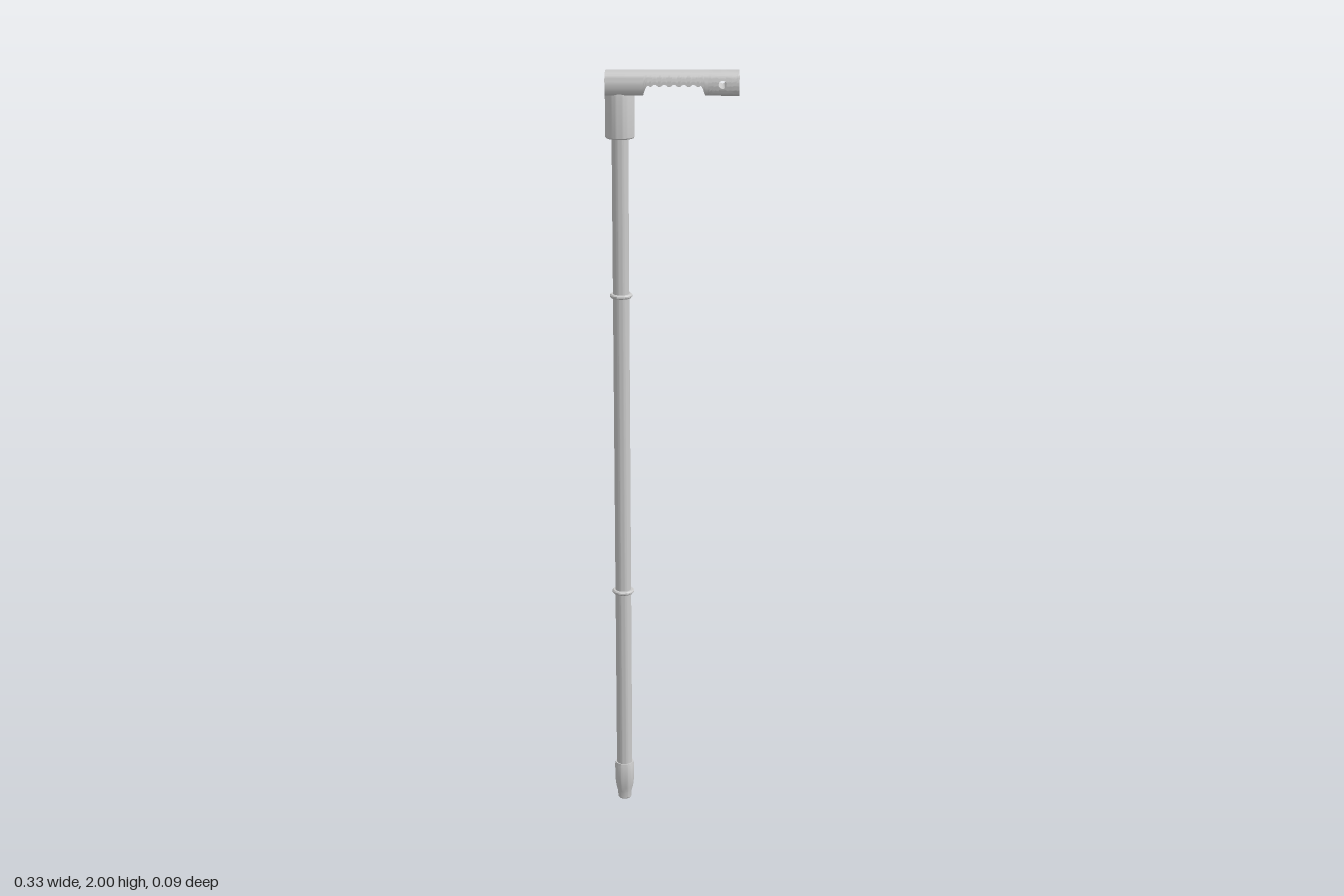
import * as THREE from 'three';
import { toCreasedNormals } from 'three/addons/utils/BufferGeometryUtils.js';

const material = new THREE.MeshStandardMaterial({ color: 0xcccccc });
const TOP = 2, BOTTOM = 1.945, HALF = 0.167, SPLIT = 0.09;
const SHAFT_X = -0.131, SHAFT_Z = 0.002;

// Half width of the handle at height y: flat top and bottom, bulging sides
function halfWidth(y) {
  const t = (y - (TOP + BOTTOM) / 2) / ((TOP - BOTTOM) / 2);
  return 0.031 + 0.014 * Math.sqrt(Math.max(0, 1 - t * t));
}

// Underside of the handle: a finger recess with cross ribs
function underside(x) {
  const inset = Math.min(x + 0.072, 0.082 - x);
  if (inset <= 0) return BOTTOM;
  const rise = Math.sin(Math.min(1, inset / 0.012) * Math.PI / 2);
  const ribs = inset > 0.015 ? 0.003 * Math.cos((x - 0.005) * Math.PI * 2 / 0.024) : 0;
  return BOTTOM + 0.026 * rise + ribs;
}

// Skin a list of closed rings of equal length
function loft(rings, closed = false) {
  const n = rings[0].length, index = [];
  const last = closed ? rings.length : rings.length - 1;
  for (let i = 0; i < last; i++) {
    for (let j = 0; j < n; j++) {
      const k = (i + 1) % rings.length, m = (j + 1) % n;
      const a = i * n + j, b = k * n + j, c = k * n + m, d = i * n + m;
      index.push(a, b, c, a, c, d);
    }
  }
  const geometry = new THREE.BufferGeometry();
  geometry.setAttribute('position', new THREE.Float32BufferAttribute(rings.flat(2), 3));
  geometry.setIndex(index);
  return toCreasedNormals(geometry, 0.6);
}

// Grip: cross-sections along x, cut off at the underside
function gripGeometry() {
  const arc = 10, stations = 110;
  const section = (x) => {
    const b = underside(x), ring = [];
    for (const side of [1, -1]) {
      for (let i = 0; i <= arc; i++) {
        const s = (1 - Math.cos(Math.PI * i / arc)) / 2;
        const y = b + (TOP - b) * (side > 0 ? s : 1 - s);
        ring.push([x, y, side * halfWidth(y)]);
      }
    }
    return ring;
  };
  const first = section(-HALF);
  const rings = [first.map(() => [-HALF, (TOP + BOTTOM) / 2, 0])];
  for (let i = 0; i <= stations; i++) rings.push(section(-HALF + (SPLIT + HALF) * i / stations));
  return loft(rings);
}

// End block: rings spread from a strap hole to the block's outline, front and back
function endGeometry() {
  const cx = 0.125, cy = 1.974, radius = 0.01, per = 12, steps = 7;
  const corners = [[HALF, BOTTOM], [HALF, TOP], [SPLIT, TOP], [SPLIT, BOTTOM]];
  const outline = [];
  corners.forEach(([x, y], c) => {
    const [x2, y2] = corners[(c + 1) % 4];
    for (let i = 0; i < per; i++) outline.push([x + (x2 - x) * i / per, y + (y2 - y) * i / per]);
  });
  const ring = (t, side) => outline.map(([x, y]) => {
    const a = Math.atan2(y - cy, x - cx);
    const hx = cx + radius * Math.cos(a), hy = cy + radius * Math.sin(a);
    const py = hy + (y - hy) * t;
    return [hx + (x - hx) * t, py, side * halfWidth(py)];
  });
  const rings = [];
  for (let i = 0; i <= steps; i++) rings.push(ring(i / steps, 1));
  for (let i = steps; i >= 0; i--) rings.push(ring(i / steps, -1));
  return loft(rings, true);
}

export function createModel() {
  const model = new THREE.Group();
  const add = (name, geometry, x = 0, y = 0, z = 0) => {
    const mesh = new THREE.Mesh(geometry, material);
    mesh.name = name;
    mesh.position.set(x, y, z);
    model.add(mesh);
    return mesh;
  };
  // Turned part on the shaft's axis, profile given from bottom to top
  const turned = (name, profile, y = 0) => {
    const points = profile.map(([r, h]) => new THREE.Vector2(r, h));
    add(name, toCreasedNormals(new THREE.LatheGeometry(points, 40), 0.5), SHAFT_X, y, SHAFT_Z);
  };

  // Handle
  add('handleGrip', gripGeometry());
  add('handleEnd', endGeometry());

  // Socket joining handle and shaft
  turned('socket', [[0, 1.835], [0.035, 1.835], [0.037, 1.838], [0.037, 1.94], [0.034, 1.955], [0, 1.955]]);

  // Shaft
  turned('shaft', [[0.021, 0.08], [0.021, 1.85]]);

  // Collars at the shaft joints
  for (const y of [0.613, 1.428]) {
    turned('collar', [[0.02, -0.005], [0.026, -0.005], [0.029, -0.002],
      [0.029, 0.002], [0.026, 0.005], [0.02, 0.005]], y);
  }

  // Foot ferrule
  turned('ferrule', [[0, 0], [0.016, 0], [0.018, 0.003], [0.019, 0.02], [0.023, 0.035],
    [0.026, 0.06], [0.026, 0.1], [0.024, 0.108], [0.02, 0.108]]);

  return model;
}
